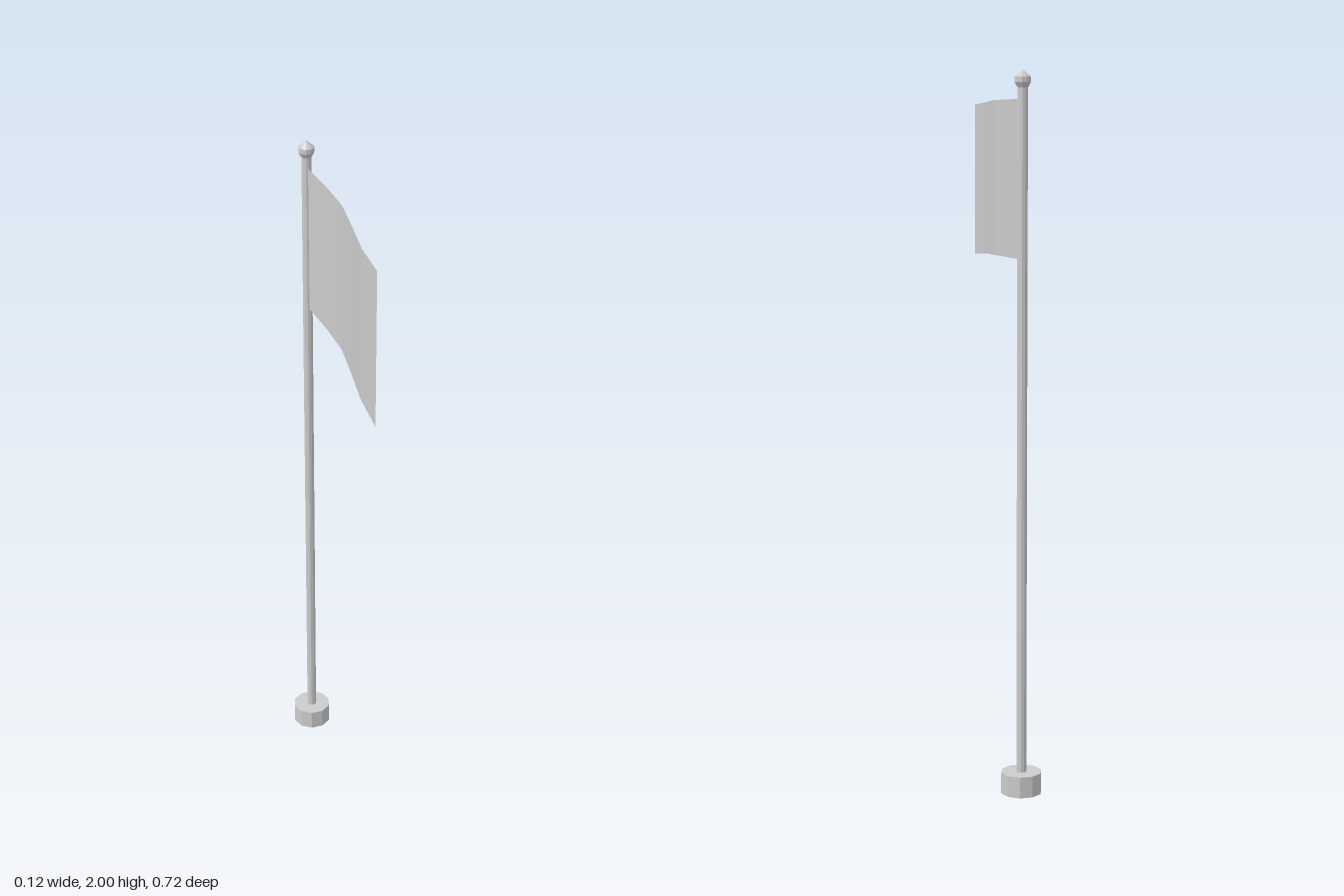
import * as THREE from 'three';

const SIDES = 10;
const POLE_Z = -0.305;

export function createModel() {
  const group = new THREE.Group();
  const grey = new THREE.MeshStandardMaterial({ color: 0xcccccc, side: THREE.DoubleSide, flatShading: true });
  grey.name = 'light grey';

  // Every turned part shares the pole's axis
  const turned = (name, profile) => {
    const points = profile.map(([r, y]) => new THREE.Vector2(r, y));
    const mesh = new THREE.Mesh(new THREE.LatheGeometry(points, SIDES, Math.PI / 2), grey);
    mesh.name = name;
    mesh.position.z = POLE_Z;
    group.add(mesh);
  };

  // Hollow foot, open underneath
  turned('base', [[0.058, 0], [0.058, 0.06], [0, 0.06]]);
  turned('pole', [[0.0145, 0.06], [0.0145, 1.96]]);
  turned('finial', [[0.0145, 1.953], [0.023, 1.967], [0.023, 1.981], [0, 2]]);

  // Single-sheet flag: gentle sideways wave, sagging towards the free end
  const wave = [0, 0.009, 0.012, -0.004, -0.021, -0.025];
  const flagGeometry = new THREE.PlaneGeometry(1, 1, wave.length - 1, 1);
  const pos = flagGeometry.attributes.position;
  for (let i = 0; i < pos.count; i++) {
    const u = pos.getX(i) + 0.5;
    const top = pos.getY(i) > 0;
    const y = top ? 1.923 - 0.012 * u * u : 1.494 - 0.029 * u * u;
    pos.setXYZ(i, wave[Math.round(u * (wave.length - 1))], y, -0.29 + 0.652 * u);
  }
  flagGeometry.computeVertexNormals();
  const flag = new THREE.Mesh(flagGeometry, grey);
  flag.name = 'flag';
  group.add(flag);

  return group;
}
